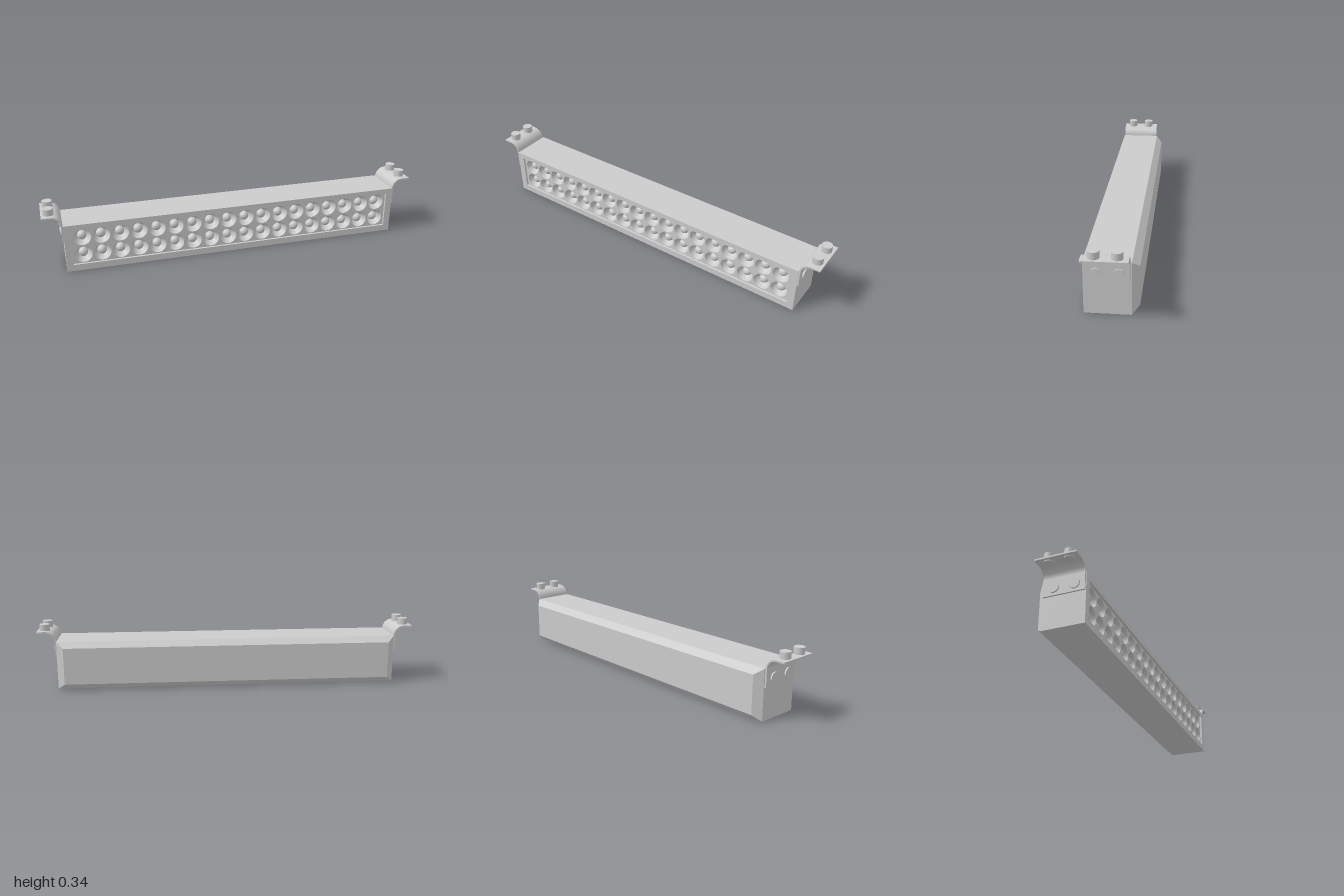
import * as THREE from 'three';

const grey = new THREE.MeshStandardMaterial({ color: 0xcccccc });
const greyDouble = new THREE.MeshStandardMaterial({ color: 0xcccccc, side: THREE.DoubleSide });

const HALF = 0.9, HEIGHT = 0.253, FRONT = 0.123, BACK = -0.09;
const PANEL_Z = 0.111, CUP_R = 0.044, PITCH = 0.0953;
const BOLT_Z = [0.065, -0.035];

function add(parent, name, geometry, material = grey) {
  const mesh = new THREE.Mesh(geometry, material);
  mesh.name = name;
  parent.add(mesh);
  return mesh;
}

// Rectangle outline, usable as a Shape or as a hole
function rect(Type, x, y0, y1) {
  const r = new Type();
  r.moveTo(-x, y0);
  r.lineTo(x, y0);
  r.lineTo(x, y1);
  r.lineTo(-x, y1);
  r.closePath();
  return r;
}

function buildHousing(group) {
  // Straight shell, open at the front
  const outline = rect(THREE.Shape, HALF, 0, HEIGHT);
  outline.holes.push(rect(THREE.Path, 0.865, 0.034, 0.226));
  const shell = new THREE.ExtrudeGeometry(outline, { depth: FRONT - BACK, bevelEnabled: false });
  add(group, 'housingShell', shell.translate(0, 0, BACK));

  // Back cover tapering to a smaller rear face
  const depth = 0.033;
  const cover = new THREE.BoxGeometry(2 * HALF, HEIGHT, depth);
  const p = cover.attributes.position;
  for (let i = 0; i < p.count; i++) {
    if (p.getZ(i) > 0) continue;
    p.setX(i, p.getX(i) - Math.sign(p.getX(i)) * 0.037);
    p.setY(i, p.getY(i) - Math.sign(p.getY(i)) * 0.03);
  }
  cover.computeVertexNormals();
  add(group, 'backCover', cover.translate(0, HEIGHT / 2, BACK - depth / 2));
}

function buildLamps(group) {
  const panel = rect(THREE.Shape, 0.865, 0.034, 0.226);
  // Cup wall with a flat floor
  const cup = new THREE.LatheGeometry([
    [CUP_R, 0], [0.041, -0.014], [0.034, -0.03], [0.024, -0.042],
  ].map(([r, y]) => new THREE.Vector2(r, y)), 24).rotateX(Math.PI / 2);
  const floor = new THREE.CircleGeometry(0.024, 24).translate(0, 0, -0.042);
  const bulb = new THREE.SphereGeometry(0.024, 20, 12).translate(0, 0, -0.032);

  for (let row = 0; row < 2; row++) {
    for (let col = 0; col < 18; col++) {
      const x = (col - 8.5) * PITCH, y = 0.13 + (row - 0.5) * PITCH;
      const hole = new THREE.Path();
      hole.absarc(x, y, CUP_R, 0, Math.PI * 2, true);
      panel.holes.push(hole);
      const lamp = new THREE.Group();
      lamp.name = 'lamp';
      lamp.position.set(x, y, PANEL_Z);
      add(lamp, 'reflectorCup', cup, greyDouble);
      add(lamp, 'cupFloor', floor);
      add(lamp, 'bulb', bulb);
      group.add(lamp);
    }
  }
  add(group, 'lampPanel', new THREE.ShapeGeometry(panel, 12).translate(0, 0, PANEL_Z));
}

// Mounting bracket on the +x end; turned round for the other end
function buildBracket(name) {
  const bracket = new THREE.Group();
  bracket.name = name;

  // Upright plate curving outwards into a flat flange
  const s = new THREE.Shape();
  s.moveTo(0.9, 0.163);
  s.lineTo(0.908, 0.163);
  s.lineTo(0.908, 0.25);
  s.absarc(0.955, 0.25, 0.047, Math.PI, Math.PI / 2, true);
  s.lineTo(1, 0.297);
  s.lineTo(1, 0.305);
  s.lineTo(0.955, 0.305);
  s.absarc(0.955, 0.25, 0.055, Math.PI / 2, Math.PI, false);
  s.closePath();
  const plate = new THREE.ExtrudeGeometry(s, { depth: 0.205, bevelEnabled: false, curveSegments: 16 });
  add(bracket, 'bracketPlate', plate.translate(0, 0, -0.1025));

  for (const z of BOLT_Z) {
    const zl = z - 0.0175;
    const top = new THREE.CylinderGeometry(0.026, 0.026, 0.045, 32);
    add(bracket, 'flangeBolt', top).position.set(0.962, 0.3155, zl);
    const side = new THREE.CylinderGeometry(0.026, 0.026, 0.018, 32).rotateZ(Math.PI / 2);
    add(bracket, 'sideBolt', side).position.set(0.906, 0.202, zl);
  }
  bracket.position.z = 0.0175;
  return bracket;
}

export function createModel() {
  const model = new THREE.Group();
  model.name = 'lightBar';
  buildHousing(model);
  buildLamps(model);
  const left = buildBracket('leftBracket');
  const right = buildBracket('rightBracket');
  right.rotation.y = Math.PI;
  model.add(left, right);
  return model;
}
